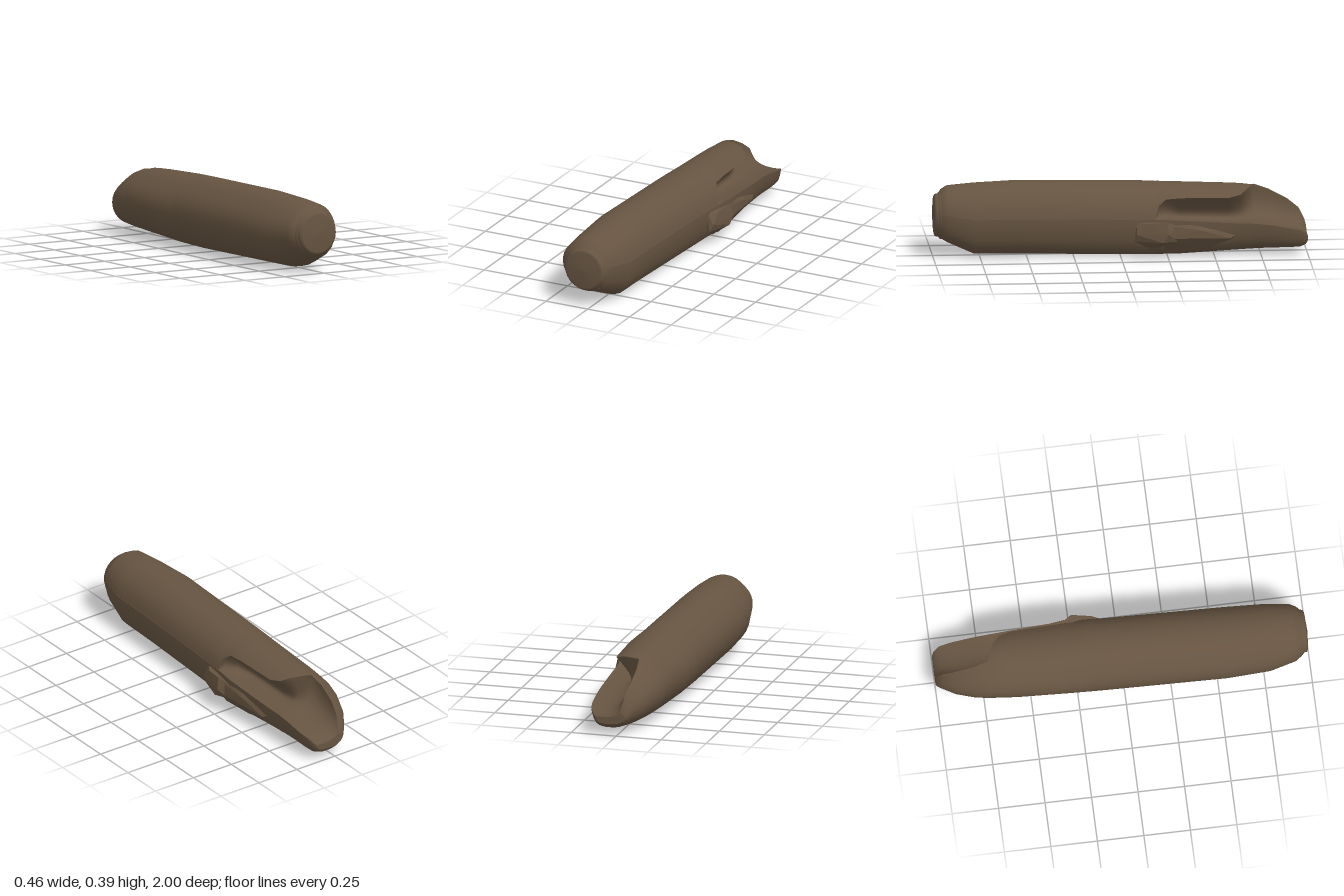
import * as THREE from 'three';
import { ConvexGeometry } from 'three/addons/geometries/ConvexGeometry.js';

// Body bounds, front to back: z, left x, right x, bottom y, top y
const BOUNDS = [
  [0.962, -0.150, 0.090, 0.105, 0.335],
  [0.955, -0.165, 0.100, 0.100, 0.355],
  [0.92, -0.190, 0.118, 0.080, 0.376],
  [0.78, -0.217, 0.142, 0.018, 0.388],
  [0.55, -0.230, 0.150, 0.016, 0.398],
  [-0.10, -0.213, 0.170, 0.006, 0.390],
  [-0.30, -0.207, 0.185, 0.008, 0.384],
  [-0.58, -0.196, 0.175, 0.024, 0.373],
  [-0.72, -0.184, 0.168, 0.031, 0.364],
  [-0.80, -0.168, 0.165, 0.034, 0.340],
  [-0.90, -0.130, 0.160, 0.036, 0.295],
  [-0.96, -0.090, 0.150, 0.040, 0.255],
  [-0.99, -0.065, 0.132, 0.052, 0.190],
  [-1.00, -0.050, 0.118, 0.068, 0.145],
];

// Hollow, front to back: z, lower lip angle, upper lip angle, depth
const OPENING = [
  [-0.18, 0.1, 0.11, 0],
  [-0.20, 0.1, 0.5, 0.15],
  [-0.24, 0.1, 0.7, 0.55],
  [-0.32, 0.08, 0.75, 0.9],
  [-0.58, -0.03, 0.77, 1],
  [-0.64, -0.05, 0.9, 1],
  [-0.68, -0.06, 1.2, 1],
  [-0.72, -0.07, 1.78, 1],
  [-0.90, -0.08, 2.07, 1],
  [-0.99, 0, 2.3, 0.9],
];

// Values of a table at any z, held steady past its ends
function sample(table, z) {
  const i = table.findIndex((row) => row[0] <= z);
  if (i === 0) return table[0].slice(1);
  if (i < 0) return table[table.length - 1].slice(1);
  const a = table[i - 1], b = table[i], t = (z - a[0]) / (b[0] - a[0]);
  return a.map((v, k) => THREE.MathUtils.lerp(v, b[k], t)).slice(1);
}

function makeSection(z) {
  const [xl, xr, yb, yt] = sample(BOUNDS, z);
  const [lo, hi, depth] = sample(OPENING, z);
  return { z, cx: (xl + xr) / 2, cy: (yb + yt) / 2, rx: (xr - xl) / 2, ry: (yt - yb) / 2, lo, hi, depth };
}

const bell = (a, mid) => Math.exp(-(((a - mid) / 0.4) ** 2));

// Point on the slightly lopsided outer skin
function skinPoint({ cx, cy, rx, ry }, angle) {
  const a = Math.atan2(Math.sin(angle), Math.cos(angle));
  const r = 1 + 0.13 * bell(a, -0.9) - 0.05 * bell(a, 2.35);
  return new THREE.Vector2(cx + rx * r * Math.cos(a), cy + ry * r * Math.sin(a));
}

// Outer arc, from the upper lip round to the lower lip
function outerArc(s) {
  const count = 30, sweep = s.lo + Math.PI * 2 - s.hi;
  return Array.from({ length: count + 1 }, (_, j) => skinPoint(s, s.hi + (sweep * j) / count));
}

// Scooped arc, from the lower lip back to the upper lip
function hollowArc(s) {
  const deep = new THREE.Vector2(s.cx - 0.44 * s.rx, s.cy - 0.32 * s.ry);
  const control = skinPoint(s, (s.lo + s.hi) / 2).lerp(deep, s.depth);
  return new THREE.QuadraticBezierCurve(skinPoint(s, s.lo), control, skinPoint(s, s.hi)).getPoints(12);
}

// Skin a strip through matching rows of points
function loft(sections, arc) {
  const rows = sections.map(arc), n = rows[0].length;
  const positions = [], index = [];
  rows.forEach((row, i) => row.forEach((p, j) => {
    positions.push(p.x, p.y, sections[i].z);
    if (i < rows.length - 1 && j < n - 1) {
      const a = i * n + j, b = a + 1, c = a + n, d = c + 1;
      index.push(a, c, b, b, c, d);
    }
  }));
  const g = new THREE.BufferGeometry();
  g.setAttribute('position', new THREE.Float32BufferAttribute(positions, 3));
  g.setIndex(index);
  g.computeVertexNormals();
  return g;
}

export function createModel() {
  const group = new THREE.Group();
  const bark = new THREE.MeshStandardMaterial({ color: 0x665441, side: THREE.DoubleSide });
  bark.name = 'brown bark';
  const add = (name, geometry) => {
    const mesh = new THREE.Mesh(geometry, bark);
    mesh.name = name;
    group.add(mesh);
  };

  // Long body and its scooped-out back end
  const stations = [...new Set([...BOUNDS, ...OPENING].map((row) => row[0]))].sort((a, b) => b - a);
  const sections = stations.map(makeSection);
  add('body', loft(sections, outerArc));
  add('hollow', loft(sections.filter((s) => s.z <= OPENING[0][0]), hollowArc));

  // Flat face closing the back tip, drawn mirrored and then turned to face back
  const last = sections[sections.length - 1];
  const outline = [...outerArc(last), ...hollowArc(last).slice(1, -1)];
  const tip = new THREE.ShapeGeometry(new THREE.Shape(outline.map((p) => new THREE.Vector2(-p.x, p.y))));
  tip.rotateY(Math.PI).translate(0, 0, last.z);
  add('backTip', tip);

  // Round raised disc on the front end
  const profile = [[0.13, -0.03], [0.128, 0], [0.118, 0.008], [0.115, 0.012], [0.113, 0.026], [0.1, 0.032], [0, 0.04]];
  const disc = new THREE.LatheGeometry(profile.map(([r, h]) => new THREE.Vector2(r, h)), 28);
  disc.rotateX(Math.PI / 2).translate(-0.03, 0.218, 0.96);
  add('frontDisc', disc);

  // Stub of a side branch, and the ridge running back from it
  const hull = (points) => new ConvexGeometry(points.map((p) => new THREE.Vector3(...p)));
  add('branchStub', hull([
    [0.2, 0.2, -0.13], [0.217, 0.21, -0.24], [0.23, 0.145, -0.25], [0.225, 0.1, -0.22],
    [0.198, 0.14, -0.08], [0.18, 0.1, -0.07], [0.16, 0.2, -0.08], [0.15, 0.05, -0.16],
    [0.19, 0.19, -0.29], [0.19, 0.1, -0.3], [0.1, 0.12, -0.1], [0.1, 0.1, -0.3],
  ]));
  add('branchRidge', hull([
    [0.205, 0.19, -0.24], [0.21, 0.12, -0.24], [0.15, 0.04, -0.22], [0.192, 0.16, -0.42],
    [0.188, 0.19, -0.36], [0.175, 0.11, -0.58], [0.14, 0.045, -0.42], [0.15, 0.14, -0.64],
    [0.1, 0.08, -0.62], [0.1, 0.1, -0.2],
  ]));

  return group;
}
